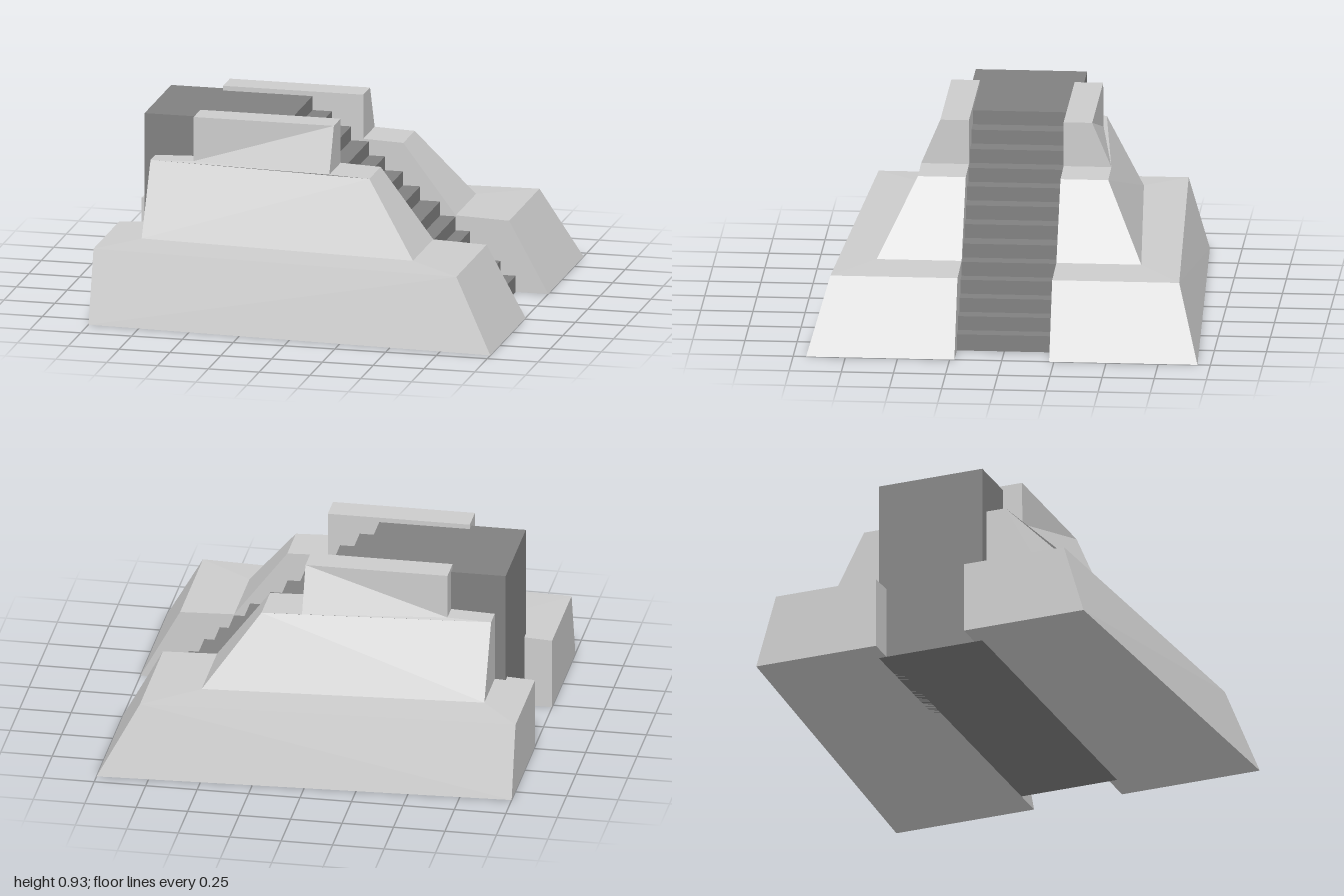
import * as THREE from 'three';

const INNER = 0.227; // inner wall of each half, beside the staircase

// Rings from bottom to top: [y, xBack, xFront, outer z at xBack, outer z at xFront]
const TIERS = {
  lowerTier: [
    [0, -1, 1, 0.845, 0.938],
    [0.35, -1, 0.808, 0.743, 0.836],
    [0.36, -0.812, 0.545, 0.543, 0.634],
  ],
  middleTier: [
    [0.36, -0.812, 0.545, 0.543, 0.634],
    [0.702, -0.812, 0.287, 0.365, 0.456],
    [0.71, -0.6, 0.09, 0.366, 0.456],
  ],
  upperTier: [
    [0.71, -0.6, 0.09, 0.366, 0.456],
    [0.928, -0.6, 0.09, 0.364, 0.364],
  ],
};

// Closed faceted solid through four-cornered rings; side is +1 or -1 in z
function tierGeometry(rings, side) {
  const loops = rings.map(([y, x0, x1, z0, z1]) => [
    [x0, y, INNER * side], [x0, y, z0 * side], [x1, y, z1 * side], [x1, y, INNER * side],
  ]);
  const pos = [];
  const tri = (a, b, c) => pos.push(...a, ...(side > 0 ? b : c), ...(side > 0 ? c : b));
  const quad = (a, b, c, d) => { tri(a, b, c); tri(a, c, d); };
  for (let r = 0; r < loops.length - 1; r++) {
    const lo = loops[r], hi = loops[r + 1];
    for (let i = 0; i < 4; i++) {
      const j = (i + 1) % 4;
      quad(lo[i], lo[j], hi[j], hi[i]);
    }
  }
  const [a, b, c, d] = loops[0];
  quad(d, c, b, a);
  quad(...loops[loops.length - 1]);
  const geo = new THREE.BufferGeometry();
  geo.setAttribute('position', new THREE.Float32BufferAttribute(pos, 3));
  geo.computeVertexNormals();
  return geo;
}

// Solid staircase: stepped side profile extruded across z
function staircaseGeometry() {
  const noses = [0.84, 0.765, 0.69, 0.615, 0.545, 0.468, 0.37, 0.285, 0.197, 0.117, 0.03, -0.065, -0.16];
  const first = 0.08, rise = (0.905 - first) / (noses.length - 1), half = 0.267;
  const shape = new THREE.Shape();
  shape.moveTo(-0.865, 0);
  shape.lineTo(noses[0], 0);
  noses.forEach((x, i) => {
    const y = first + rise * i;
    shape.lineTo(x, y);
    shape.lineTo(i + 1 < noses.length ? noses[i + 1] : -0.865, y);
  });
  const geo = new THREE.ExtrudeGeometry(shape, { depth: half * 2, bevelEnabled: false });
  return geo.translate(0, 0, -half);
}

export function createModel() {
  const model = new THREE.Group();
  model.name = 'steppedPlatform';
  const stone = new THREE.MeshStandardMaterial({ color: 0xcccccc, flatShading: true });
  const darkStone = new THREE.MeshStandardMaterial({ color: 0x808080, flatShading: true });

  // Mirrored terraced halves either side of the stairs
  for (const side of [1, -1]) {
    const half = new THREE.Group();
    half.name = side > 0 ? 'frontTerraces' : 'backTerraces';
    for (const [name, rings] of Object.entries(TIERS)) {
      const mesh = new THREE.Mesh(tierGeometry(rings, side), stone);
      mesh.name = name;
      half.add(mesh);
    }
    model.add(half);
  }

  // Central staircase with its top landing
  const stairs = new THREE.Mesh(staircaseGeometry(), darkStone);
  stairs.name = 'staircase';
  model.add(stairs);
  return model;
}
